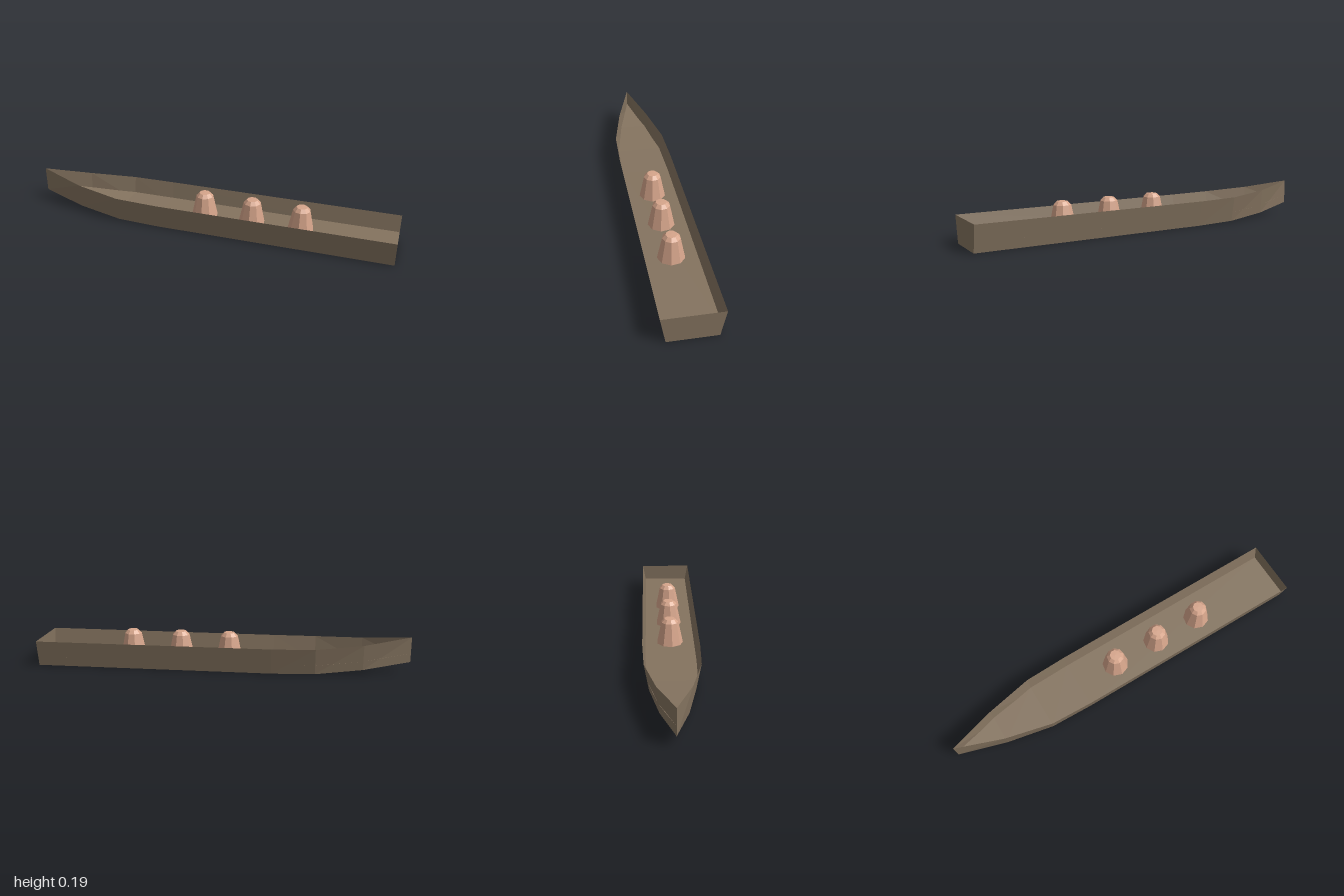
import * as THREE from 'three';

// Hull stations from bow to stern: [x, bottom y, rim y, half width at the rim]
const STATIONS = [
  [-1, 0.055, 0.19, 0],
  [-0.75, 0.022, 0.158, 0.083],
  [-0.5, 0.004, 0.143, 0.139],
  [-0.27, 0, 0.14, 0.147],
  [1, 0, 0.14, 0.149],
];
const BOTTOM_RATIO = 0.825; // bottom width relative to the rim
const FLOOR_LEVEL = 0.35;   // floor height as a share of the wall

// Point on the side wall: t = 0 at the bottom, 1 at the rim; side = +1 or -1
function wallPoint([x, y0, y1, w], t, side) {
  return [x, y0 + (y1 - y0) * t, side * w * (BOTTOM_RATIO + (1 - BOTTOM_RATIO) * t)];
}

// Flat-shaded mesh from a list of quads
function quadMesh(name, quads, material) {
  const positions = quads.flatMap(([a, b, c, d]) => [a, b, c, a, c, d].flat());
  const geometry = new THREE.BufferGeometry();
  geometry.setAttribute('position', new THREE.Float32BufferAttribute(positions, 3));
  geometry.computeVertexNormals();
  const mesh = new THREE.Mesh(geometry, material);
  mesh.name = name;
  return mesh;
}

// One quad per pair of neighbouring stations
function strip(pointA, pointB) {
  return STATIONS.slice(1).map((next, i) => {
    const s = STATIONS[i];
    return [pointA(s), pointA(next), pointB(next), pointB(s)];
  });
}

export function createModel() {
  const wood = new THREE.MeshStandardMaterial({ color: 0x84735f, side: THREE.DoubleSide, flatShading: true });
  wood.name = 'wood';
  const clay = new THREE.MeshStandardMaterial({ color: 0xd6a58b, flatShading: true });
  clay.name = 'clay';

  const boat = new THREE.Group();
  boat.name = 'boat';

  // Thin flared side walls
  boat.add(quadMesh('leftWall', strip(s => wallPoint(s, 0, 1), s => wallPoint(s, 1, 1)), wood));
  boat.add(quadMesh('rightWall', strip(s => wallPoint(s, 1, -1), s => wallPoint(s, 0, -1)), wood));

  // Bottom and raised inner floor
  boat.add(quadMesh('bottom', strip(s => wallPoint(s, 0, -1), s => wallPoint(s, 0, 1)), wood));
  boat.add(quadMesh('floor', strip(s => wallPoint(s, FLOOR_LEVEL, 1), s => wallPoint(s, FLOOR_LEVEL, -1)), wood));

  // Flat stern
  const stern = STATIONS[STATIONS.length - 1];
  boat.add(quadMesh('stern', [[
    wallPoint(stern, 0, 1), wallPoint(stern, 0, -1),
    wallPoint(stern, 1, -1), wallPoint(stern, 1, 1),
  ]], wood));

  // Tapered pots with a bevelled shoulder and flat top
  const profile = [[0, 0.049], [0.071, 0.049], [0.046, 0.168], [0.029, 0.186], [0, 0.187]]
    .map(([r, y]) => new THREE.Vector2(r, y));
  const potGeometry = new THREE.LatheGeometry(profile, 9);
  [-0.035, 0.23, 0.497].forEach((x, i) => {
    const pot = new THREE.Mesh(potGeometry, clay);
    pot.name = `pot${i + 1}`;
    pot.position.x = x;
    boat.add(pot);
  });

  return boat;
}
